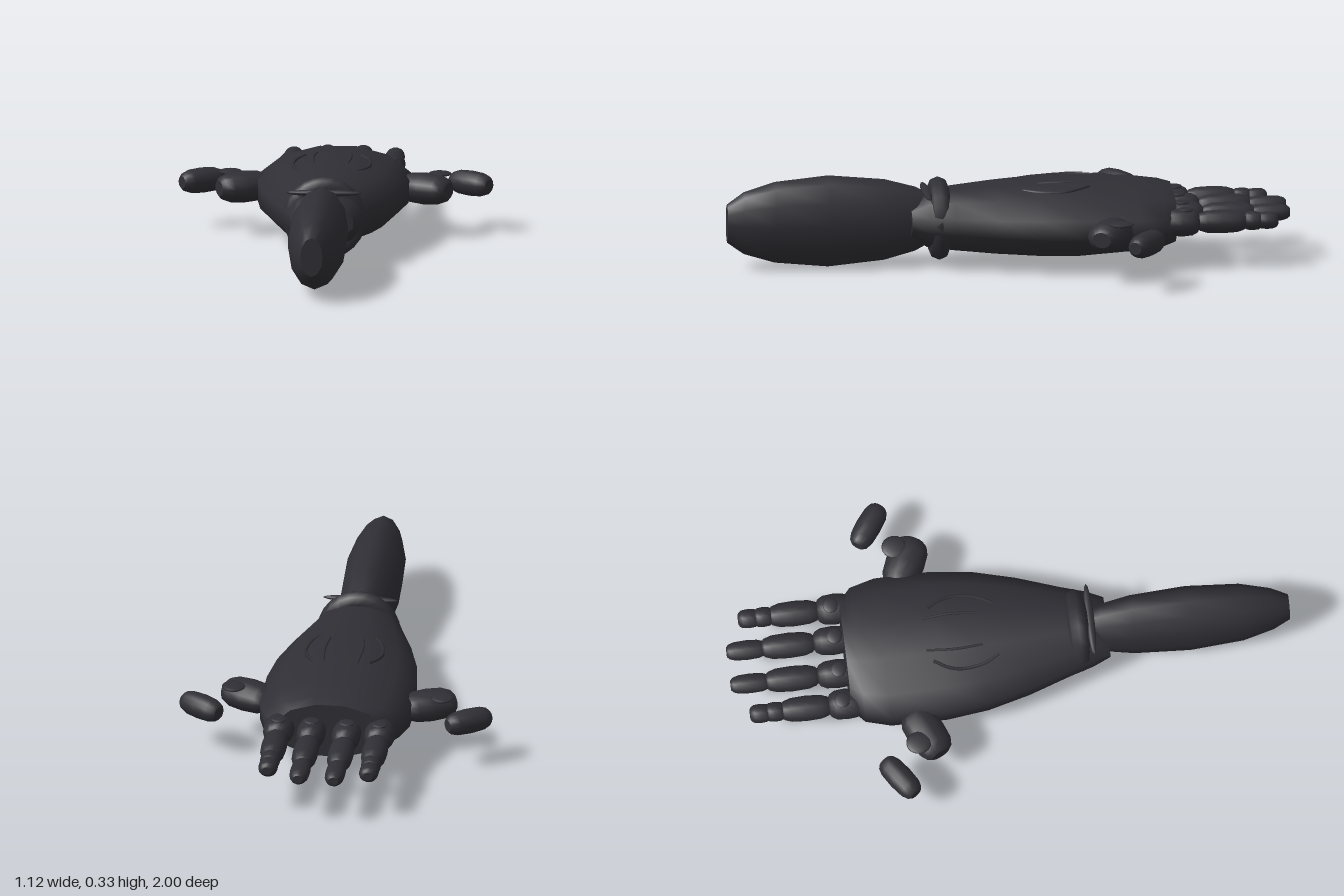
import * as THREE from 'three';

const charcoal = new THREE.MeshStandardMaterial({ color: 0x302f35 });
charcoal.name = 'charcoal';
const MID = 0.17;

// Closed elliptical loft along z; sections are [z, rx, ry] in rising z
function loft(sections, sides, offset = 0) {
  const pos = [], idx = [];
  const ring = ([z, rx, ry]) => {
    for (let j = 0; j < sides; j++) {
      const a = ((j + offset) / sides) * Math.PI * 2;
      pos.push(Math.cos(a) * rx, Math.sin(a) * ry, z);
    }
  };
  sections.forEach(ring);
  for (let i = 0; i < sections.length - 1; i++) {
    for (let j = 0; j < sides; j++) {
      const k = (j + 1) % sides;
      const a = i * sides + j, b = i * sides + k;
      idx.push(a, b, b + sides, a, b + sides, a + sides);
    }
  }
  // Separate cap rings keep the ends crisp
  [[sections[0], true], [sections[sections.length - 1], false]].forEach(([s, flip]) => {
    const start = pos.length / 3;
    ring(s);
    for (let j = 1; j < sides - 1; j++) {
      if (flip) idx.push(start, start + j + 1, start + j);
      else idx.push(start, start + j, start + j + 1);
    }
  });
  const g = new THREE.BufferGeometry();
  g.setAttribute('position', new THREE.Float32BufferAttribute(pos, 3));
  g.setIndex(idx);
  g.computeVertexNormals();
  return g;
}

// Rounded finger bone with small flat ends, centred on its origin
function bone(length, rx, ry) {
  const profile = [[-0.5, 0.5], [-0.44, 0.74], [-0.3, 0.93], [0, 1], [0.3, 0.93], [0.44, 0.74], [0.5, 0.5]];
  return loft(profile.map(([t, r]) => [t * length, rx * r, ry * r]), 14);
}

function add(parent, name, geometry, x = 0, y = 0, z = 0) {
  const m = new THREE.Mesh(geometry, charcoal);
  m.name = name;
  m.position.set(x, y, z);
  parent.add(m);
  return m;
}

function tube(points, radius) {
  const curve = new THREE.CatmullRomCurve3(points.map((p) => new THREE.Vector3(...p)));
  return new THREE.TubeGeometry(curve, 16, radius, 6);
}

export function createModel() {
  const hand = new THREE.Group();
  hand.name = 'mechanicalHand';

  // Palm shell
  add(hand, 'palm', loft([
    [-0.585, 0.2, 0.103], [-0.54, 0.252, 0.114], [-0.45, 0.277, 0.125], [-0.25, 0.277, 0.139],
    [-0.1, 0.258, 0.136], [0.05, 0.218, 0.126], [0.2, 0.165, 0.112], [0.29, 0.137, 0.1], [0.35, 0.112, 0.06],
  ], 12, 0.5), 0, MID, 0);

  // Forearm
  add(hand, 'forearm', loft([
    [0.28, 0.062, 0.09], [0.33, 0.078, 0.117], [0.44, 0.096, 0.147], [0.64, 0.105, 0.166],
    [0.83, 0.093, 0.147], [0.94, 0.066, 0.113], [1, 0.04, 0.07],
  ], 12), 0, MID, 0);

  // Wrist ring and cross pin
  add(hand, 'wristRing', new THREE.TorusGeometry(0.112, 0.036, 8, 24), 0, MID, 0.246);
  const pin = add(hand, 'wristPin', new THREE.SphereGeometry(1, 16, 10), 0, 0.268, 0.29);
  pin.scale.set(0.135, 0.012, 0.016);

  for (const side of [1, -1]) {
    // Fingers: each bone is [start z, end z, rx, ry]
    const fingers = [
      ['innerFinger', 0.063, [[-0.55, -0.69, 0.052, 0.05], [-0.685, -0.875, 0.046, 0.042], [-0.86, -1, 0.036, 0.031]]],
      ['outerFinger', 0.18, [[-0.54, -0.665, 0.056, 0.05], [-0.655, -0.835, 0.046, 0.042],
        [-0.82, -0.89, 0.036, 0.034], [-0.87, -0.945, 0.035, 0.031]]],
    ];
    for (const [name, x, bones] of fingers) {
      const finger = new THREE.Group();
      finger.name = name;
      finger.position.set(side * x, 0.174, 0);
      hand.add(finger);
      for (const [z0, z1, rx, ry] of bones) {
        add(finger, 'fingerBone', bone(z0 - z1, rx, ry), 0, 0, (z0 + z1) / 2);
      }
      // Knuckle cap
      const cap = add(finger, 'knuckleCap', new THREE.SphereGeometry(1, 14, 8), 0, 0.046, -0.615);
      cap.scale.set(0.03, 0.007, 0.028);
    }

    // Thumb
    const thumb = new THREE.Group();
    thumb.name = 'thumb';
    hand.add(thumb);
    const base = add(thumb, 'thumbBase', bone(0.19, 0.07, 0.056), side * 0.322, MID, -0.332);
    base.rotation.y = side * 1.12;
    const tip = add(thumb, 'thumbTip', bone(0.168, 0.046, 0.045), side * 0.477, MID, -0.444);
    tip.rotation.y = side * 0.96;
    const disc = add(thumb, 'thumbDisc', new THREE.SphereGeometry(1, 16, 8), side * 0.372, 0.218, -0.365);
    disc.scale.set(0.042, 0.009, 0.045);

    // Raised lines on the back of the hand
    add(hand, 'innerLine', tube([
      [side * 0.06, 0.301, -0.3], [side * 0.067, 0.304, -0.2], [side * 0.06, 0.3, -0.1],
    ], 0.005));
    add(hand, 'outerArc', tube([
      [side * 0.1, 0.296, -0.28], [side * 0.128, 0.29, -0.23], [side * 0.137, 0.284, -0.18],
      [side * 0.125, 0.283, -0.1], [side * 0.095, 0.284, -0.045],
    ], 0.006));
  }
  return hand;
}
